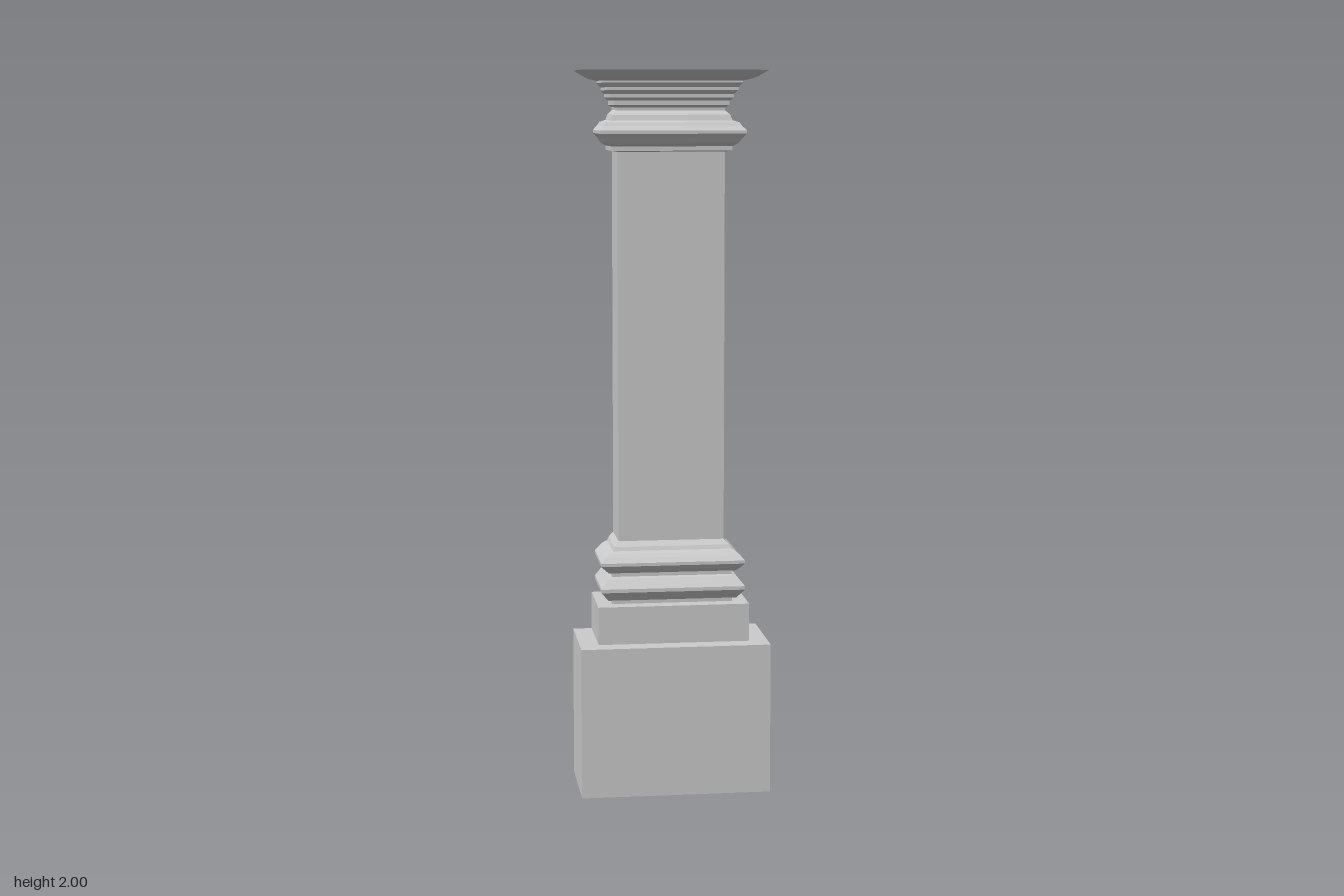
import * as THREE from 'three';

const HALF = 0.148, FRONT = 0.016, BACK = -0.132;
const material = new THREE.MeshStandardMaterial({
  color: 0xcccccc, flatShading: true, side: THREE.DoubleSide,
});

// Sweep a profile of [projection, height] points round the two sides and the front,
// with mitred corners; the back, top and bottom stay open.
function sweep(name, profile) {
  const rows = profile.map(([o, y]) => {
    const w = HALF + o, z = FRONT + o;
    return [[-w, y, BACK], [-w, y, z], [w, y, z], [w, y, BACK]];
  });
  const pos = [];
  for (let i = 0; i < rows.length - 1; i++) {
    for (let j = 0; j < 3; j++) {
      const a = rows[i][j], b = rows[i][j + 1], c = rows[i + 1][j + 1], d = rows[i + 1][j];
      pos.push(...a, ...b, ...c, ...a, ...c, ...d);
    }
  }
  const geometry = new THREE.BufferGeometry();
  geometry.setAttribute('position', new THREE.Float32BufferAttribute(pos, 3));
  geometry.computeVertexNormals();
  const mesh = new THREE.Mesh(geometry, material);
  mesh.name = name;
  return mesh;
}

// Faceted bulging moulding between two heights
const roll = (y0, y1, inner, outer) => [
  [inner, y0], [outer - 0.012, y0 + (y1 - y0) * 0.18], [outer, y0 + (y1 - y0) * 0.42],
  [outer, y0 + (y1 - y0) * 0.58], [outer - 0.012, y0 + (y1 - y0) * 0.82], [inner, y1],
];

export function createModel() {
  const group = new THREE.Group();
  group.name = 'pilaster';

  // Pedestal and plinth, each with its ledge
  group.add(sweep('pedestal', [[0.116, 0], [0.116, 0.422], [0.063, 0.422]]));
  group.add(sweep('plinth', [[0.063, 0.422], [0.063, 0.528], [0.021, 0.528]]));

  // Two rolls with a hollow between, then a cove up to the shaft
  group.add(sweep('baseMoulding', [
    [0.021, 0.528], [0.021, 0.54],
    ...roll(0.54, 0.602, 0.032, 0.053),
    [0.02, 0.605], [0.02, 0.617],
    ...roll(0.617, 0.672, 0.03, 0.053),
    [0.018, 0.677], [0.013, 0.688], [0, 0.702],
  ]));

  group.add(sweep('shaft', [[0, 0.702], [0, 1.78]]));

  // Neck roll below the capital
  group.add(sweep('neckMoulding', [
    [0, 1.78], [0.018, 1.783], [0.018, 1.795], [0.03, 1.802],
    ...roll(1.807, 1.86, 0.035, 0.053),
    [0.018, 1.865], [0.013, 1.88], [0, 1.892],
  ]));

  // Stepped bands widening upward
  const steps = [[0, 1.892], [0, 1.9]];
  for (let i = 1; i <= 4; i++) {
    steps.push([i * 0.0105, 1.9 + (i - 1) * 0.02 + 0.006], [i * 0.0105, 1.9 + i * 0.018]);
  }
  group.add(sweep('capitalSteps', steps));

  // Flaring cornice
  group.add(sweep('cornice', [
    [0.042, 1.972], [0.051, 1.974], [0.064, 1.977], [0.078, 1.983], [0.092, 1.992], [0.106, 2],
  ]));
  return group;
}
